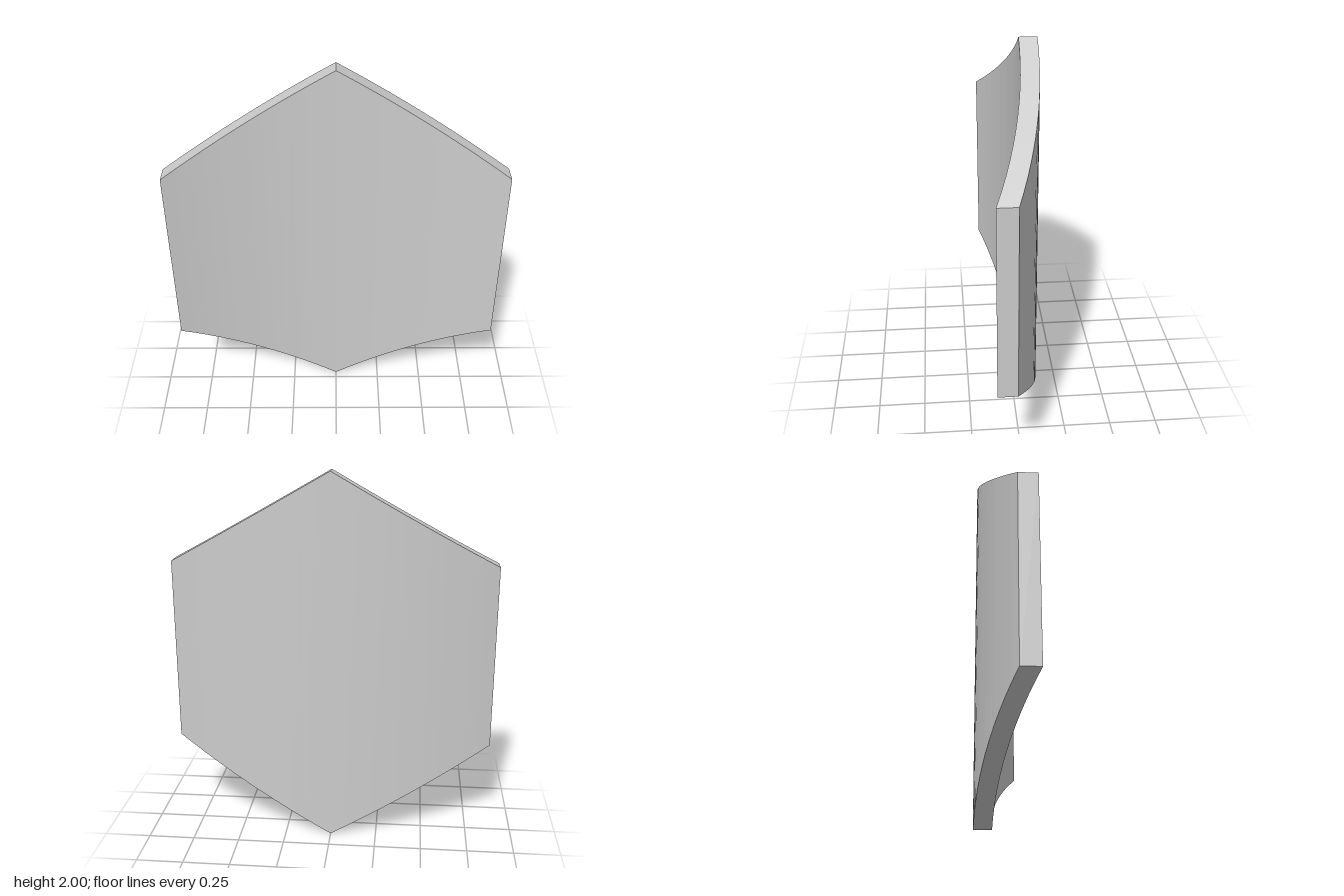
import * as THREE from 'three';

const HALF_WIDTH = Math.sqrt(3) / 2; // regular hexagon with corner radius 1
const INNER_RADIUS = 2.254;
const THICKNESS = 0.093;
const BACK_Z = -0.1326;
const STRIPS = 24;

// Hexagonal tile cut straight through a cylindrical shell, hollow side to the front
function createCurvedHexagon() {
  const geometry = new THREE.BoxGeometry(2 * HALF_WIDTH, 2, 2, STRIPS, 1, 1);
  const pos = geometry.attributes.position;
  const outerRadius = INNER_RADIUS + THICKNESS;
  const axisZ = BACK_Z + outerRadius;

  for (let i = 0; i < pos.count; i++) {
    const x = pos.getX(i);
    // sloping top and bottom edges that meet in a point at x = 0
    const halfHeight = 1 - Math.abs(x) / Math.sqrt(3);
    // front follows the inner cylinder, back the outer one
    const radius = pos.getZ(i) > 0 ? INNER_RADIUS : outerRadius;
    pos.setY(i, 1 + Math.sign(pos.getY(i)) * halfHeight);
    pos.setZ(i, axisZ - Math.sqrt(radius * radius - x * x));
  }
  geometry.computeVertexNormals();
  return geometry;
}

export function createModel() {
  const model = new THREE.Group();
  model.name = 'curvedHexagonPanel';

  const material = new THREE.MeshStandardMaterial({ color: 0xcccccc, flatShading: true });
  const panel = new THREE.Mesh(createCurvedHexagon(), material);
  panel.name = 'hexagonPanel';
  model.add(panel);
  return model;
}
